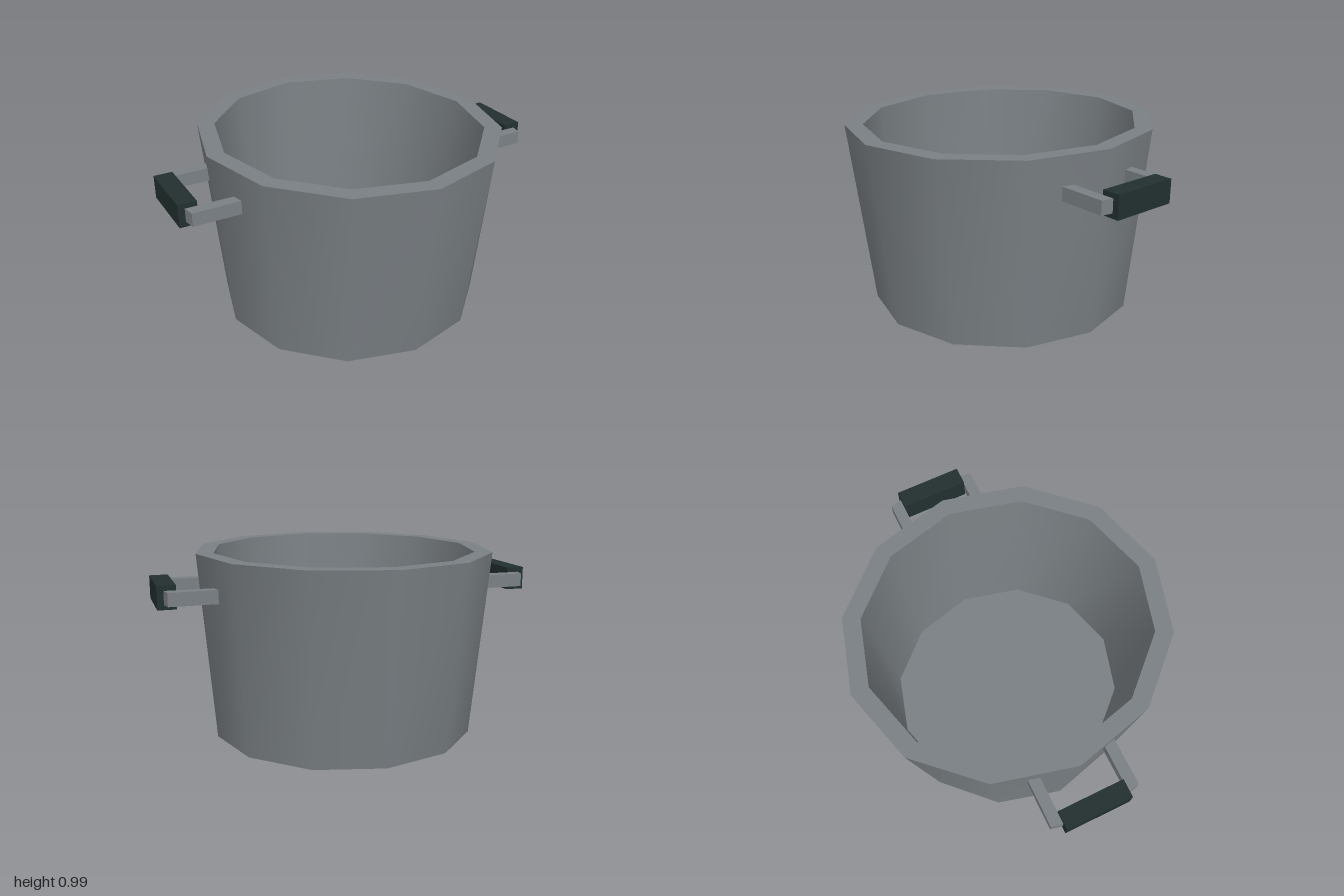
import * as THREE from 'three';
import { mergeVertices } from 'three/addons/utils/BufferGeometryUtils.js';

// Twelve-sided band joining two elliptical rings [rx, y, rz]
function band(a, b) {
  const geo = new THREE.CylinderGeometry(1, 1, 1, 12, 1, true);
  geo.deleteAttribute('uv');
  geo.deleteAttribute('normal');
  const p = geo.attributes.position;
  for (let i = 0; i < p.count; i++) {
    const [rx, y, rz] = p.getY(i) < 0 ? a : b;
    p.setXYZ(i, p.getX(i) * rx, y, p.getZ(i) * rz);
  }
  const merged = mergeVertices(geo, 1e-5);
  merged.computeVertexNormals();
  return merged;
}

export function createModel() {
  const group = new THREE.Group();
  const steel = new THREE.MeshStandardMaterial({ color: 0x7a8084 });
  steel.name = 'steel grey';
  const grip = new THREE.MeshStandardMaterial({ color: 0x22302f });
  grip.name = 'dark grip';

  // Pot: each ring pair is one smooth band, with sharp edges between bands
  const rings = [
    [0, 0, 0], [0.7, 0, 0.7], [0.78, 0.985, 0.83],
    [0.69, 0.985, 0.737], [0.61, 0.07, 0.65], [0, 0.07, 0],
  ];
  const names = ['base', 'outerWall', 'rim', 'innerWall', 'floor'];
  const pot = new THREE.Group();
  pot.name = 'pot';
  names.forEach((name, i) => {
    const mesh = new THREE.Mesh(band(rings[i], rings[i + 1]), steel);
    mesh.name = name;
    pot.add(mesh);
  });
  group.add(pot);

  // Bracket: U-shaped bar seen from above, with slightly slanted outer ends
  const outline = new THREE.Shape([
    [0.71, -0.235], [0.955, -0.235], [0.967, -0.175], [0.967, 0.175],
    [0.955, 0.235], [0.71, 0.235], [0.71, 0.175], [0.92, 0.175],
    [0.92, -0.175], [0.71, -0.175],
  ].map(([x, z]) => new THREE.Vector2(x, z)));
  const bracketGeo = new THREE.ExtrudeGeometry(outline, { depth: 0.07, bevelEnabled: false });
  bracketGeo.rotateX(-Math.PI / 2).translate(0, 0.765, 0);
  const gripGeo = new THREE.BoxGeometry(0.095, 0.12, 0.35).translate(0.9525, 0.8, 0);

  // Two matching handles
  for (const [name, angle] of [['leftHandle', 0], ['rightHandle', Math.PI]]) {
    const handle = new THREE.Group();
    handle.name = name;
    const bracket = new THREE.Mesh(bracketGeo, steel);
    bracket.name = 'bracket';
    const sleeve = new THREE.Mesh(gripGeo, grip);
    sleeve.name = 'grip';
    handle.add(bracket, sleeve);
    handle.rotation.y = angle;
    group.add(handle);
  }
  return group;
}
